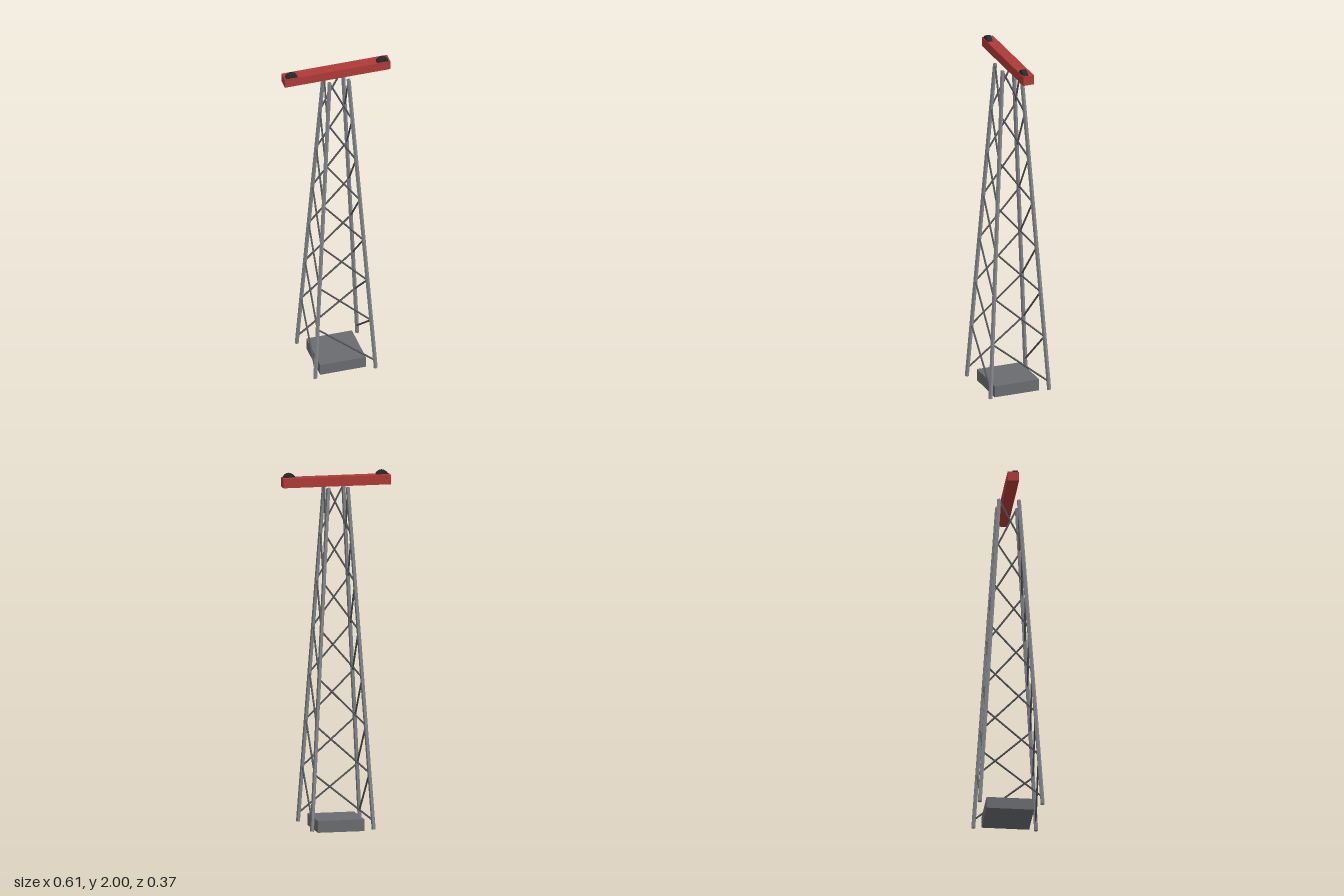
import * as THREE from 'three';

const mat = (name, color) => {
  const m = new THREE.MeshStandardMaterial({ color, flatShading: true });
  m.name = name;
  return m;
};

// Straight round bar between two points
function bar(name, a, b, radius, sides, material) {
  const dir = b.clone().sub(a);
  const mesh = new THREE.Mesh(new THREE.CylinderGeometry(radius, radius, dir.length(), sides), material);
  mesh.position.copy(a).add(b).multiplyScalar(0.5);
  mesh.quaternion.setFromUnitVectors(new THREE.Vector3(0, 1, 0), dir.normalize());
  mesh.name = name;
  return mesh;
}

export function createModel() {
  const steel = mat('steel grey', 0x85878b);
  const brace = mat('dark steel', 0x55585c);
  const concrete = mat('base grey', 0x6a6c6f);
  const red = mat('beam red', 0xaf3a37);
  const black = mat('wheel black', 0x2a2a2a);
  const model = new THREE.Group();
  model.name = 'liftTower';

  const add = (name, geometry, material, x, y, z) => {
    const mesh = new THREE.Mesh(geometry, material);
    mesh.name = name;
    mesh.position.set(x, y, z);
    model.add(mesh);
    return mesh;
  };

  // Foundation block
  add('base', new THREE.BoxGeometry(0.264, 0.066, 0.264), concrete, 0, 0.033, 0);

  // Four tapering legs, corners in order round the tower
  const bottom = 0.016, top = 1.92;
  const corners = [[1, 1], [-1, 1], [-1, -1], [1, -1]];
  const legPoint = ([sx, sz], y) => {
    const r = THREE.MathUtils.mapLinear(y, bottom, top, 0.175, 0.055);
    return new THREE.Vector3(sx * r, y, sz * r);
  };
  for (const c of corners) model.add(bar('leg', legPoint(c, bottom), legPoint(c, top), 0.012, 5, steel));

  // One rising diagonal per panel on each face, spiralling the same way
  const panels = 7, low = 0.065, step = (top - low) / panels;
  const lattice = new THREE.Group();
  lattice.name = 'lattice';
  corners.forEach((c, i) => {
    const next = corners[(i + 1) % 4];
    for (let p = 0; p < panels; p++) {
      const y = low + p * step;
      lattice.add(bar('diagonalBrace', legPoint(c, y), legPoint(next, y + step), 0.0055, 5, brace));
    }
  });
  model.add(lattice);

  // Cross beam with a cable wheel at each end
  add('crossBeam', new THREE.BoxGeometry(0.61, 0.053, 0.064), red, 0, 1.95, -0.001);
  for (const s of [-1, 1]) {
    const wheel = add('cableWheel', new THREE.CylinderGeometry(0.0365, 0.0365, 0.029, 16), black, s * 0.263, 1.9635, 0.0125);
    wheel.rotation.x = Math.PI / 2;
  }
  return model;
}
